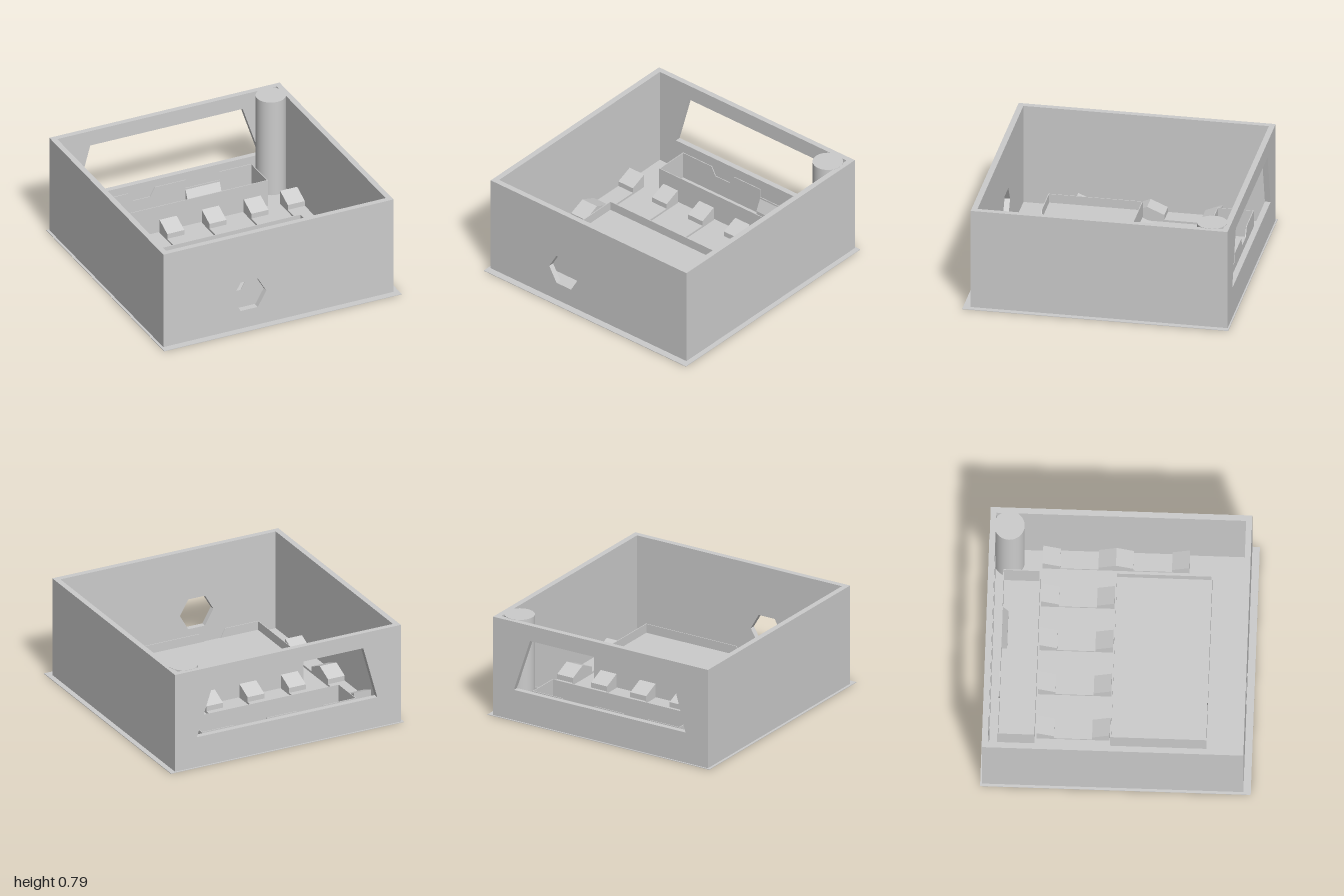
import * as THREE from 'three';

const material = new THREE.MeshStandardMaterial({ color: 0xcccccc, flatShading: true });
const roundMaterial = new THREE.MeshStandardMaterial({ color: 0xcccccc });

export function createModel() {
  const model = new THREE.Group();
  model.name = 'openEnclosure';

  const add = (name, geometry, mat = material) => {
    const mesh = new THREE.Mesh(geometry, mat);
    mesh.name = name;
    model.add(mesh);
    return mesh;
  };
  // Box given by its extents on each axis
  const box = (name, x0, x1, y0, y1, z0, z1) =>
    add(name, new THREE.BoxGeometry(x1 - x0, y1 - y0, z1 - z0)
      .translate((x0 + x1) / 2, (y0 + y1) / 2, (z0 + z1) / 2));
  const toPoints = (list) => list.map(([x, y]) => new THREE.Vector2(x, y));
  // Upright panel: an outline in x and y, with optional holes, extruded along z
  const panel = (name, outline, z0, z1, holes = []) => {
    const shape = new THREE.Shape(toPoints(outline));
    holes.forEach((h) => shape.holes.push(new THREE.Path(toPoints(h))));
    return add(name, new THREE.ExtrudeGeometry(shape, { depth: z1 - z0, bevelEnabled: false })
      .translate(0, 0, z0));
  };
  // Side profile in z and y, extruded along x
  const profile = (name, points, x0, x1) => {
    const shape = new THREE.Shape(toPoints(points.map(([z, y]) => [-z, y])));
    return add(name, new THREE.ExtrudeGeometry(shape, { depth: x1 - x0, bevelEnabled: false })
      .rotateY(Math.PI / 2).translate(x0, 0, 0));
  };
  const rect = (x0, x1, y0, y1) => [[x0, y0], [x1, y0], [x1, y1], [x0, y1]];

  // Thin base sheet, slightly wider than the walls
  const H = 0.79;
  box('basePlate', -0.975, 0.975, 0, 0.004, -1, 1);

  // Side walls
  box('rightWall', -0.955, -0.911, 0, H, -0.945, 0.945);
  box('leftWall', 0.89, 0.934, 0, H, -0.945, 0.945);

  // Front wall with a hexagonal cable hole
  const hexagon = [];
  for (let i = 0; i < 6; i++) {
    const a = (i * Math.PI) / 3;
    hexagon.push([-0.25 + 0.14 * Math.cos(a), 0.274 + 0.14 * Math.sin(a)]);
  }
  panel('frontWall', rect(-0.911, 0.89, 0, H), 0.901, 0.945, [hexagon]);

  // Back wall with a trapezoid window
  panel('backWall', rect(-0.955, 0.934, 0, H), -0.988, -0.945,
    [[[-0.757, 0.245], [0.752, 0.245], [0.61, 0.668], [-0.64, 0.668]]]);

  // Round post in the back left corner
  add('cornerPost', new THREE.CylinderGeometry(0.113, 0.113, 0.792, 48)
    .translate(0.793, 0.396, -0.845), roundMaterial);

  // Trays share width, rim height and ledge height
  const X0 = -0.637, X1 = 0.655, RIM = 0.222, LEDGE = 0.152, T = 0.006;
  const cableNotch = [[-0.142, RIM], [-0.18, LEDGE], [-0.32, LEDGE], [-0.358, RIM]];

  // Front tray: raised platform with a low rim
  box('platform', X0, X1, 0, LEDGE, -0.05, 0.66);
  panel('platformFrontRim', [[X0, 0], [X1, 0], [X1, RIM], ...cableNotch, [X0, RIM]], 0.66 - T, 0.66);
  box('platformBackRim', X0, X1, 0, RIM, -0.05, -0.05 + T);

  // Rear tray: open box with two notches in its back wall
  panel('trayBackWall', [[X0, 0], [X1, 0], [X1, RIM], [0.39, RIM], [0.39, LEDGE],
    [0.11, LEDGE], [0.11, RIM], ...cableNotch, [X0, RIM]], -0.885, -0.885 + T);
  box('trayFrontWall', X0, X1, 0, RIM, -0.61 - T, -0.61);
  profile('trayWedge', [[-0.885, 0], [-0.885, LEDGE], [-0.838, 0.05], [-0.838, 0]], 0.11, 0.39);

  // Side walls of both trays
  for (const [name, z0, z1] of [['platformSideRim', -0.05, 0.66], ['traySideWall', -0.885, -0.61]]) {
    box(name, X0, X0 + T, 0, RIM, z0, z1);
    box(name, X1 - T, X1, 0, RIM, z0, z1);
  }

  // Cradles: low strips whose end blocks slope in toward the middle
  const cradle = (x, z0, z1) => profile('cradle', [
    [z0, 0], [z0, 0.115], [z0 + 0.13, 0.06], [z0 + 0.13, 0.02],
    [z1 - 0.13, 0.02], [z1 - 0.13, 0.06], [z1, 0.115], [z1, 0],
  ], x - 0.07, x + 0.07);
  [-0.841, -0.516, -0.169, 0.177, 0.521, 0.82].forEach((x) => cradle(x, -0.598, -0.056));
  [-0.841, 0.82].forEach((x) => cradle(x, -0.056, 0.488));

  return model;
}
